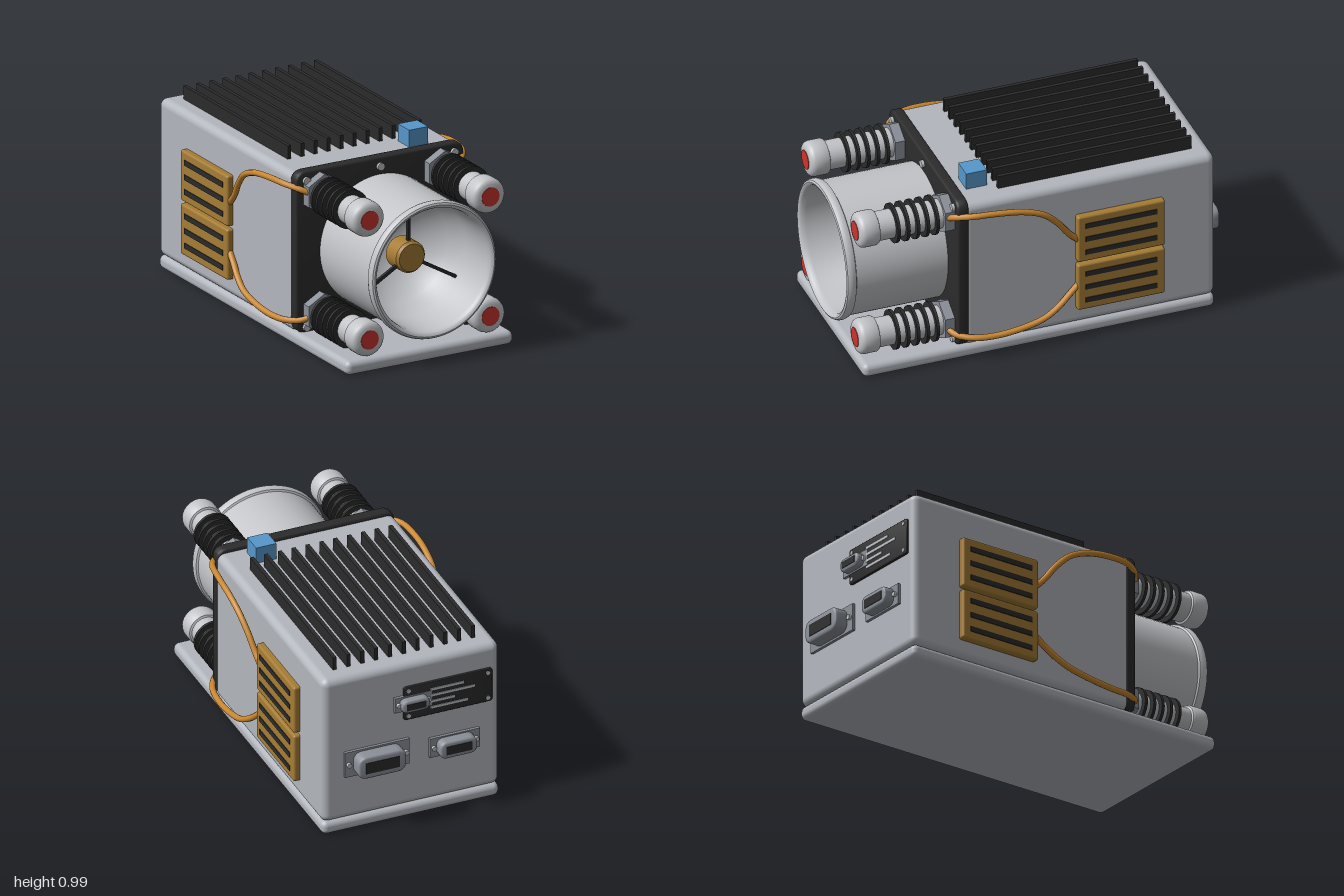
import * as THREE from 'three';
import { toCreasedNormals } from 'three/addons/utils/BufferGeometryUtils.js';
import { RoundedBoxGeometry } from 'three/addons/geometries/RoundedBoxGeometry.js';

const mat = (name, color) => {
  const m = new THREE.MeshStandardMaterial({ color });
  m.name = name;
  return m;
};

export function createModel() {
  const grey = mat('grey metal', 0xb3b7be);
  const light = mat('light metal', 0xc2c4c8);
  const steel = mat('dark steel', 0x8b9099);
  const black = mat('black', 0x2b2b2b);
  const gold = mat('gold', 0xa67c34);
  const orange = mat('cable orange', 0xc98730);
  const blue = mat('blue', 0x5798cb);
  const red = mat('red', 0xcc352d);

  const model = new THREE.Group();
  model.name = 'model';

  const add = (name, geometry, material, x = 0, y = 0, z = 0, parent = model) => {
    const mesh = new THREE.Mesh(geometry, material);
    mesh.name = name;
    mesh.position.set(x, y, z);
    parent.add(mesh);
    return mesh;
  };
  const group = (name, x = 0, y = 0, z = 0) => {
    const g = new THREE.Group();
    g.name = name;
    g.position.set(x, y, z);
    model.add(g);
    return g;
  };
  // Turned part about the z axis, points are [radius, z]
  const turned = (pts, sides = 48) => toCreasedNormals(
    new THREE.LatheGeometry(pts.map(p => new THREE.Vector2(p[0], p[1])), sides).rotateX(Math.PI / 2), 0.6);
  const disc = (r, depth, sides = 32) => new THREE.CylinderGeometry(r, r, depth, sides).rotateX(Math.PI / 2);
  const box = (w, h, d) => new THREE.BoxGeometry(w, h, d);
  // Rounded rectangle extruded and centred on z
  const slab = (w, h, d, r, bevel) => {
    const a = w / 2 - bevel, b = h / 2 - bevel, s = new THREE.Shape();
    s.moveTo(-a + r, -b);
    s.lineTo(a - r, -b).quadraticCurveTo(a, -b, a, -b + r);
    s.lineTo(a, b - r).quadraticCurveTo(a, b, a - r, b);
    s.lineTo(-a + r, b).quadraticCurveTo(-a, b, -a, b - r);
    s.lineTo(-a, -b + r).quadraticCurveTo(-a, -b, -a + r, -b);
    const g = new THREE.ExtrudeGeometry(s, {
      depth: d - 2 * bevel, bevelEnabled: true, bevelThickness: bevel, bevelSize: bevel, bevelSegments: 3, curveSegments: 6,
    });
    g.translate(0, 0, -d / 2 + bevel);
    return toCreasedNormals(g, 0.6);
  };

  // Housing
  add('basePlate', new RoundedBoxGeometry(0.96, 0.073, 1.87, 4, 0.03), grey, 0, 0.0365, 0.025);
  add('body', new RoundedBoxGeometry(0.96, 0.83, 1.34, 4, 0.04), grey, 0, 0.485, -0.24);
  add('frontPlate', slab(0.965, 0.85, 0.06, 0.045, 0.012), black, 0, 0.495, 0.43);
  for (const x of [-0.425, 0, 0.425])
    for (const y of [0.1, 0.872]) add('plateBolt', disc(0.02, 0.03, 16), light, x, y, 0.46);

  // Cooling fins and indicator on the roof
  for (let i = -5; i <= 5; i++) add('coolingFin', box(0.02, 0.09, 1.03), black, i * 0.075, 0.925, -0.305);
  add('roofIndicator', box(0.11, 0.1, 0.11), blue, 0.28, 0.94, 0.305);

  // Barrel with rolled rim and dished interior
  const barrel = group('barrel', 0, 0.485, 0);
  add('barrelShell', turned([
    [0.345, 0.44], [0.345, 0.945], [0.355, 0.95], [0.36, 0.965], [0.36, 0.982], [0.354, 0.995], [0.344, 1.0],
    [0.334, 0.996], [0.326, 0.985], [0.322, 0.96], [0.316, 0.76], [0.28, 0.65], [0.21, 0.57], [0.13, 0.51], [0.06, 0.485], [0, 0.48],
  ], 72), light, 0, 0, 0, barrel);
  add('hub', turned([[0, 0.66], [0.083, 0.66], [0.083, 0.76], [0.072, 0.775], [0, 0.775]], 32), gold, 0, 0, 0, barrel);
  for (let i = 0; i < 3; i++) {
    const a = Math.PI / 2 + i * Math.PI * 2 / 3;
    const spoke = add('spoke', box(0.25, 0.017, 0.017), black, Math.cos(a) * 0.193, Math.sin(a) * 0.193, 0.74, barrel);
    spoke.rotation.z = a;
  }

  // Four ringed posts around the barrel
  const postShape = turned([
    [0.075, 0.45], [0.075, 0.848], [0.086, 0.852], [0.092, 0.862], [0.092, 0.925], [0.088, 0.94], [0.078, 0.95], [0.064, 0.955], [0, 0.955],
  ], 40);
  for (const x of [-0.347, 0.347]) {
    for (const y of [0.17, 0.8]) {
      const post = group('post', x, y, 0);
      add('postCore', postShape, light, 0, 0, 0, post);
      add('postNut', toCreasedNormals(disc(0.106, 0.055, 6), 0.5), steel, 0, 0, 0.483, post);
      for (let i = 0; i < 5; i++) add('postRing', disc(0.102, 0.016), black, 0, 0, 0.55 + i * 0.052, post);
      add('postLens', disc(0.05, 0.006), red, 0, 0, 0.955, post);
    }
  }

  // Side panels and cables, mirrored left and right; cable points are [x, y, z]
  const cables = [
    [[0.42, 0.815, 0.495], [0.465, 0.835, 0.465], [0.51, 0.85, 0.39], [0.527, 0.85, 0.27], [0.53, 0.83, 0.13],
      [0.525, 0.785, 0.02], [0.512, 0.71, -0.06], [0.5, 0.63, -0.12], [0.493, 0.575, -0.175]],
    [[0.42, 0.16, 0.495], [0.465, 0.143, 0.465], [0.51, 0.133, 0.39], [0.527, 0.13, 0.27], [0.53, 0.147, 0.12],
      [0.525, 0.175, 0.01], [0.512, 0.22, -0.07], [0.5, 0.265, -0.125], [0.493, 0.31, -0.175]],
  ];
  for (const s of [-1, 1]) {
    for (const y of [0.3, 0.583]) {
      add('sidePanel', new RoundedBoxGeometry(0.05, 0.267, 0.465, 3, 0.012), gold, s * 0.49, y, -0.398);
      for (const dy of [-0.077, 0, 0.077]) add('panelSlot', box(0.008, 0.028, 0.38), black, s * 0.515, y + dy, -0.396);
    }
    for (const pts of cables) {
      const curve = new THREE.CatmullRomCurve3(pts.map(p => new THREE.Vector3(s * p[0], p[1], p[2])));
      add('cable', new THREE.TubeGeometry(curve, 56, 0.016, 10), orange);
    }
  }

  // Rear data plate with plain marking bars
  add('dataPlate', slab(0.48, 0.19, 0.016, 0.012, 0.003), black, -0.195, 0.672, -0.915);
  for (const x of [-0.41, 0.02])
    for (const y of [0.6, 0.745]) add('dataPlateScrew', disc(0.011, 0.012, 12), light, x, y, -0.922);
  [[0.18, 0.725], [0.24, 0.69], [0.13, 0.655], [0.2, 0.62]].forEach(([w, y]) =>
    add('markingBar', box(w, 0.013, 0.006), light, -0.1 - w / 2, y, -0.923));

  // Rear connectors: [x, y, shell width, shell height, reach, flange width, flange height]
  [[0.19, 0.395, 0.26, 0.125, 0.085, 0.35, 0.145],
    [-0.23, 0.38, 0.2, 0.095, 0.07, 0.27, 0.11],
    [-0.005, 0.675, 0.15, 0.07, 0.055, 0.2, 0.085]].forEach(([x, y, w, h, reach, fw, fh]) => {
    const c = group('connector', x, y, -0.91);
    add('connectorFlange', box(fw, fh, 0.03), steel, 0, 0, 0, c);
    add('connectorShell', slab(w, h, reach, h * 0.28, 0.012), steel, 0, 0, -reach / 2, c);
    add('connectorSocket', box(w * 0.7, h * 0.5, 0.006), black, 0, 0, -reach, c);
    for (const s of [-1, 1])
      add('connectorScrew', disc(0.013, 0.03, 12), light, s * (fw / 2 - 0.02), 0, -0.015, c);
  });

  return model;
}
